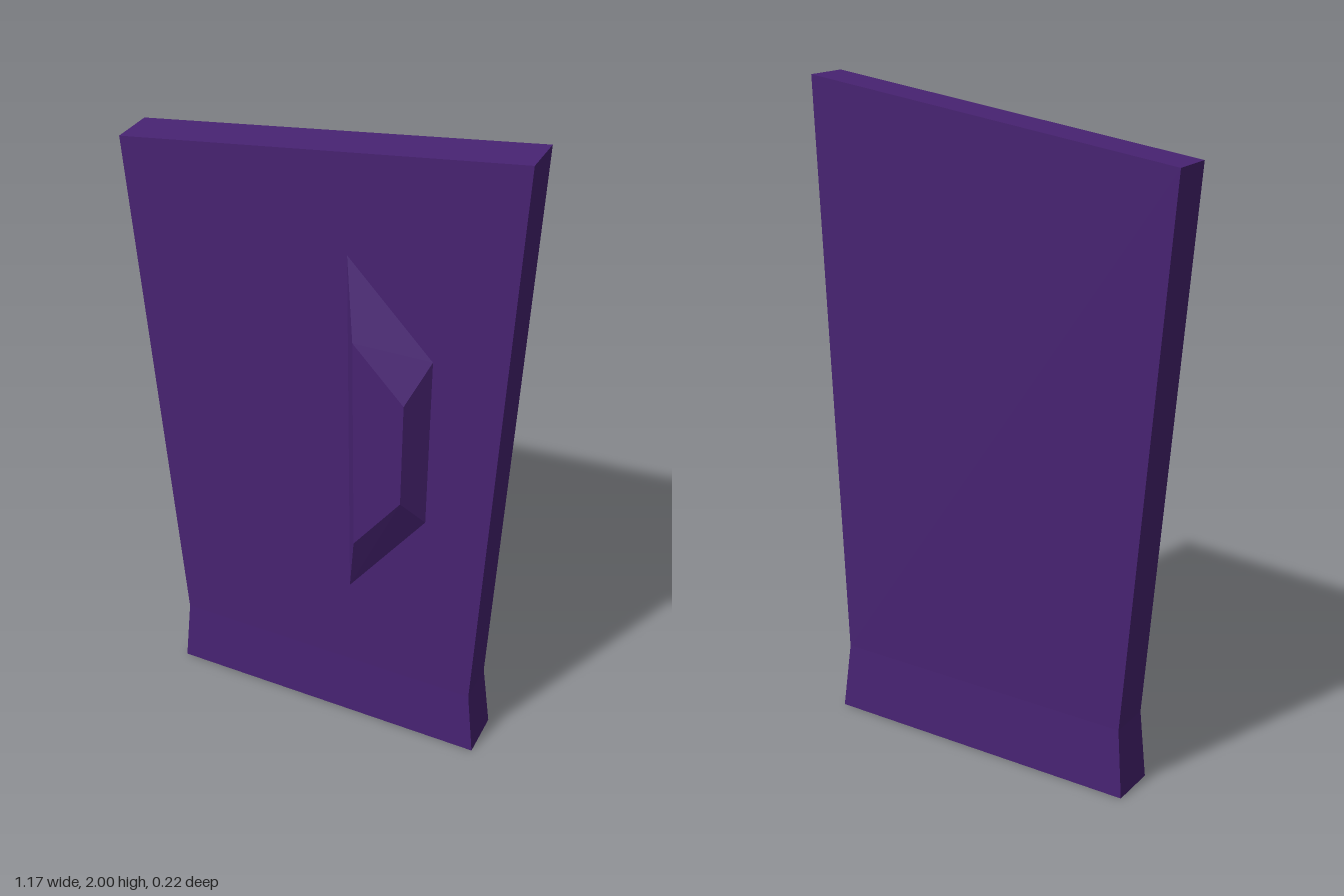
import * as THREE from 'three';

// Solid through four-cornered sections; corners run counter-clockwise seen from the last section.
function loft(sections, capStart = true) {
  const pos = [];
  const quad = (a, b, c, d) => pos.push(...a, ...b, ...c, ...a, ...c, ...d);
  for (let s = 0; s < sections.length - 1; s++) {
    const lo = sections[s], hi = sections[s + 1];
    for (let i = 0; i < 4; i++) {
      const j = (i + 1) % 4;
      quad(lo[i], lo[j], hi[j], hi[i]);
    }
  }
  if (capStart) quad(...[...sections[0]].reverse());
  quad(...sections[sections.length - 1]);
  const geometry = new THREE.BufferGeometry();
  geometry.setAttribute('position', new THREE.Float32BufferAttribute(pos, 3));
  geometry.computeVertexNormals();
  return geometry;
}

// Horizontal section of the panel, with its own height at each side.
const slice = (x0, y0, x1, y1, front, back) => [
  [x0, y0, front], [x1, y1, front], [x1, y1, back], [x0, y0, back],
];

export function createModel() {
  const purple = new THREE.MeshStandardMaterial({ color: 0x482373, flatShading: true });
  purple.name = 'deep purple';
  const group = new THREE.Group();
  group.name = 'panel';
  const add = (name, geometry) => {
    const mesh = new THREE.Mesh(geometry, purple);
    mesh.name = name;
    group.add(mesh);
  };

  // Flared foot, narrow waist and slanted top edge
  add('slab', loft([
    slice(-0.474, 0, 0.545, 0, 0.04, -0.108),
    slice(-0.456, 0.215, 0.519, 0.215, 0.033, -0.1),
    slice(-0.588, 1.848, 0.586, 2, 0.033, -0.1),
  ]));

  // Raised four-sided boss with sloping sides
  const atDepth = (corners, z) => corners.map(([x, y]) => [x, y, z]);
  add('raisedBoss', loft([
    atDepth([[0.095, 1.642], [0.117, 0.515], [0.351, 0.835], [0.351, 1.378]], 0.033),
    atDepth([[0.147, 1.425], [0.16, 0.745], [0.301, 0.935], [0.301, 1.265]], 0.107),
  ], false));

  return group;
}
